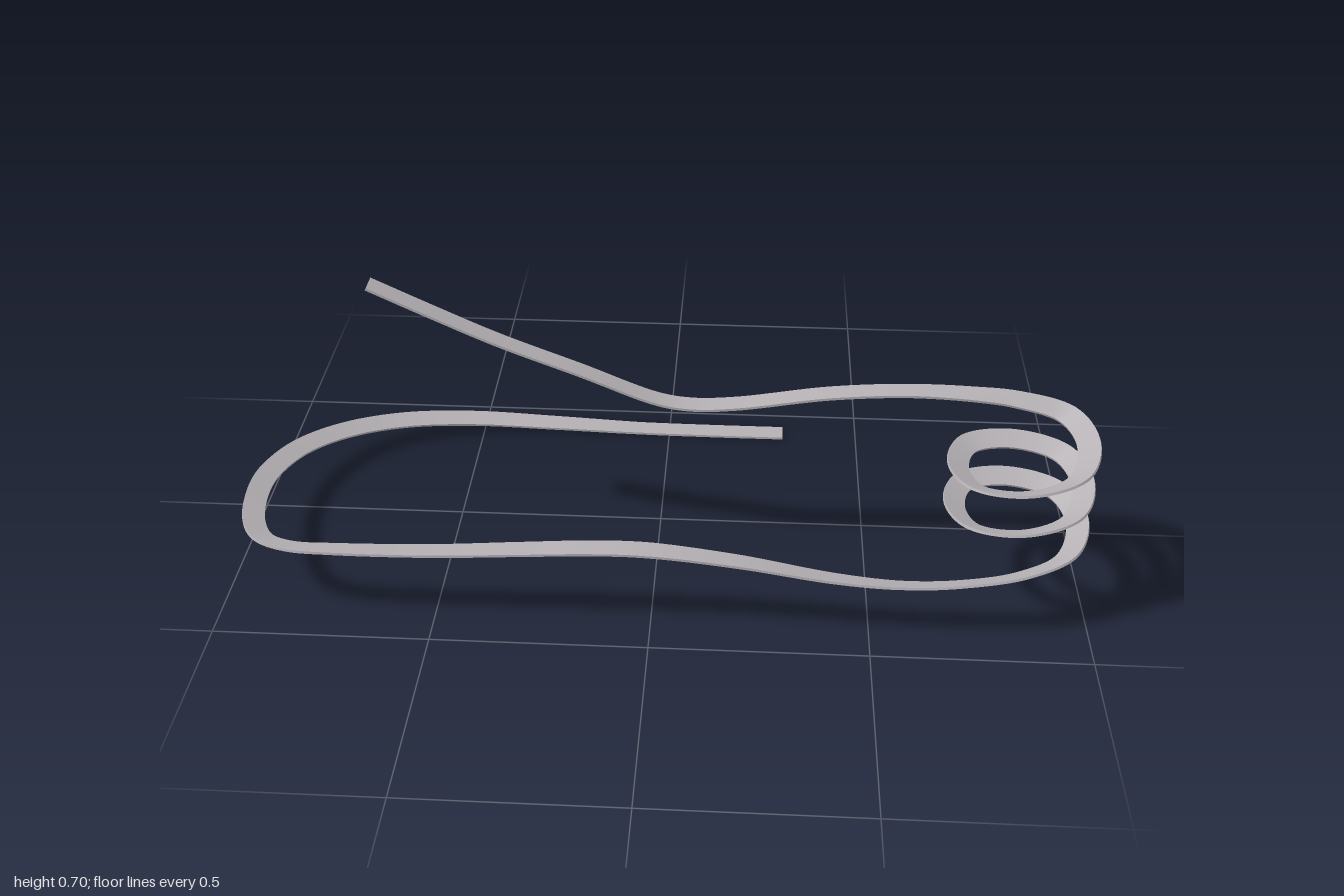
import * as THREE from 'three';

const WIDTH = 0.053, THICK = 0.006, STEPS = 520;

// Centreline stations: x, y, z, bank (radians, outer edge raised)
function stations() {
  const pts = [
    [-0.66, 0.697, 0.1, 0], [-0.52, 0.63, 0.1, 0], [-0.37, 0.561, 0.1, 0], [-0.18, 0.486, 0.1, 0],
    [0, 0.414, 0.1, 0], [0.08, 0.402, 0.1, 0], [0.18, 0.408, 0.1, 0], [0.4, 0.444, 0.1, 0],
    [0.58, 0.457, 0.1, 0], [0.73, 0.453, 0.1, 0.1], [0.83, 0.445, 0.105, 0.25],
  ];
  // Spring coil: rounded-square loops, eight stations per turn
  const quarter = [0.443, 0.419, 0.375, 0.351, 0.338];
  const soft = (v) => Math.sign(v) * Math.abs(v) ** 0.82;
  for (let i = 1; i < 20; i++) {
    const a = (i * Math.PI) / 4, q = (i % 8) / 2, k = Math.floor(q);
    const y = THREE.MathUtils.lerp(quarter[k], quarter[k + 1], q - k) - 0.105 * Math.floor(i / 8);
    pts.push([0.83 + 0.142 * soft(Math.sin(a)), y, 0.245 - 0.14 * soft(Math.cos(a)), 0.4]);
  }
  // Front arm, left bend and rear arm
  pts.push(
    [0.84, 0.159, 0.39, 0.4], [0.7, 0.132, 0.397, 0.4], [0.57, 0.124, 0.398, 0.36], [0.42, 0.136, 0.398, 0.25],
    [0.2, 0.174, 0.398, 0.1], [0, 0.197, 0.398, 0], [-0.12, 0.198, 0.398, 0], [-0.3, 0.187, 0.398, 0.05],
    [-0.5, 0.174, 0.398, 0.12], [-0.72, 0.169, 0.397, 0.2], [-0.83, 0.166, 0.388, 0.27], [-0.9, 0.161, 0.352, 0.32],
    [-0.945, 0.153, 0.27, 0.34], [-0.972, 0.137, 0.11, 0.34], [-0.963, 0.123, 0, 0.33], [-0.92, 0.104, -0.125, 0.32],
    [-0.83, 0.079, -0.245, 0.3], [-0.7, 0.056, -0.333, 0.26], [-0.53, 0.036, -0.383, 0.2], [-0.3, 0.016, -0.404, 0.1],
    [-0.08, 0.005, -0.408, 0], [0.12, 0.003, -0.408, 0], [0.305, 0.003, -0.408, 0],
  );
  return pts;
}

// Sweep a flat rectangular section along the banked centreline
function ribbonGeometry() {
  const pts = stations();
  const curve = new THREE.CatmullRomCurve3(pts.map(([x, y, z]) => new THREE.Vector3(x, y, z)));
  const up = new THREE.Vector3(0, 1, 0);
  const rings = [];
  for (let i = 0; i <= STEPS; i++) {
    const t = i / STEPS, f = t * (pts.length - 1), k = Math.min(Math.floor(f), pts.length - 2);
    const bank = THREE.MathUtils.lerp(pts[k][3], pts[k + 1][3], f - k);
    const p = curve.getPoint(t), tangent = curve.getTangent(t);
    const outer = new THREE.Vector3().crossVectors(up, tangent).normalize().applyAxisAngle(tangent, -bank);
    const normal = new THREE.Vector3().crossVectors(tangent, outer).normalize();
    if (normal.y < 0) normal.negate();
    // Raised outer edge regardless of travel direction
    if (outer.y < 0) {
      outer.applyAxisAngle(tangent, 2 * bank);
      normal.crossVectors(tangent, outer).normalize();
    }
    rings.push([[1, 1], [-1, 1], [-1, -1], [1, -1]].map(([u, v]) =>
      p.clone().addScaledVector(outer, (u * WIDTH) / 2).addScaledVector(normal, (v * THICK) / 2)));
  }
  const pos = [], index = [];
  // Four long faces, each with its own vertices for crisp edges
  for (let s = 0; s < 4; s++) {
    const base = pos.length / 3;
    rings.forEach((r) => pos.push(...r[s].toArray(), ...r[(s + 1) % 4].toArray()));
    for (let i = 0; i < STEPS; i++) {
      const a = base + i * 2;
      index.push(a, a + 1, a + 2, a + 1, a + 3, a + 2);
    }
  }
  // End caps
  [[rings[0], [0, 2, 1, 0, 3, 2]], [rings[STEPS], [0, 1, 2, 0, 2, 3]]].forEach(([r, order]) => {
    const base = pos.length / 3;
    r.forEach((v) => pos.push(...v.toArray()));
    index.push(...order.map((o) => base + o));
  });
  const g = new THREE.BufferGeometry();
  g.setAttribute('position', new THREE.Float32BufferAttribute(pos, 3));
  g.setIndex(index);
  g.computeVertexNormals();
  return g;
}

export function createModel() {
  const group = new THREE.Group();
  group.name = 'ribbonClip';
  const steel = new THREE.MeshStandardMaterial({ color: 0xb4b0b4, side: THREE.DoubleSide });
  steel.name = 'steel grey';
  const ribbon = new THREE.Mesh(ribbonGeometry(), steel);
  ribbon.name = 'coiledRibbon';
  group.add(ribbon);
  return group;
}
